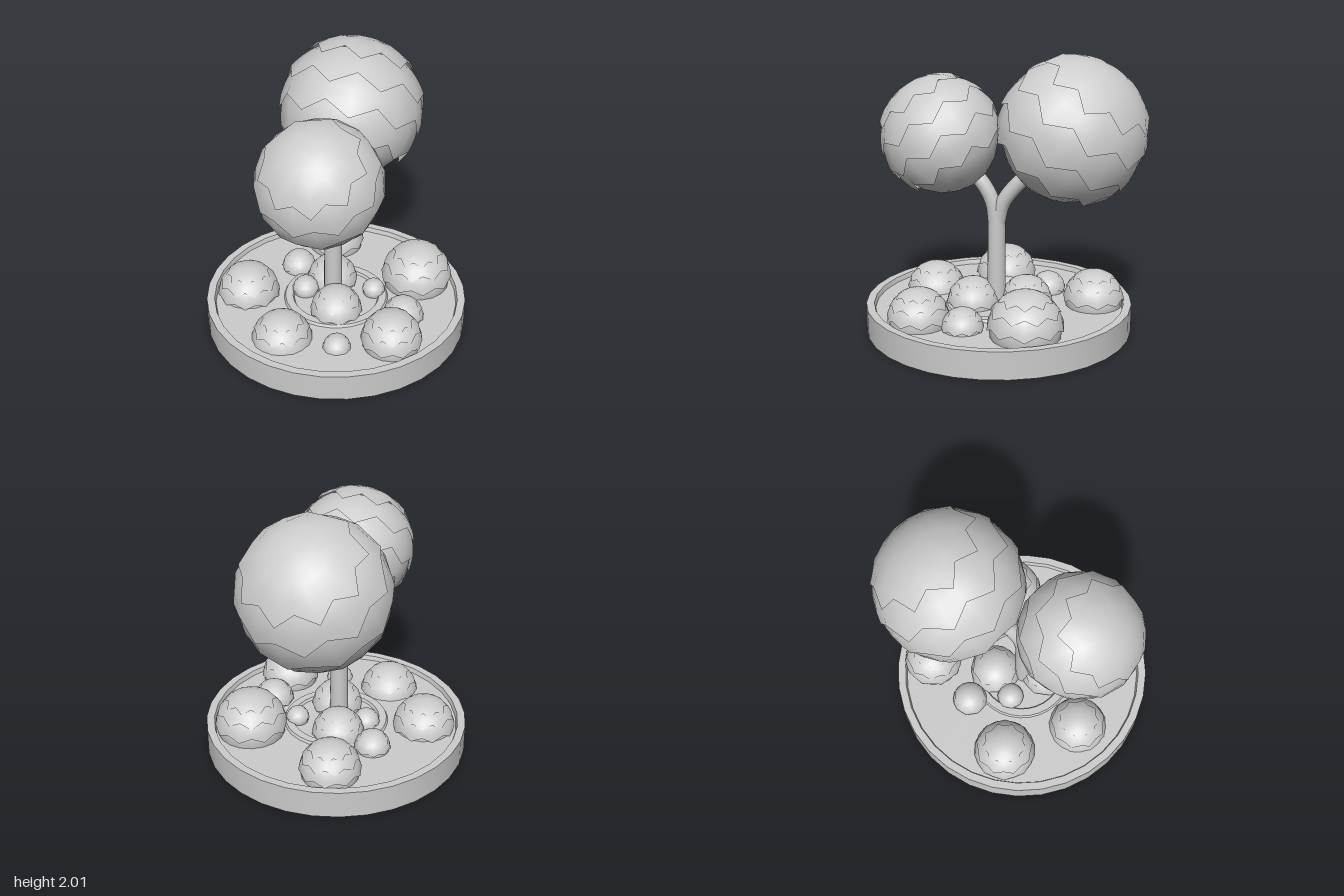
import * as THREE from 'three';
import { toCreasedNormals } from 'three/addons/utils/BufferGeometryUtils.js';

const material = new THREE.MeshStandardMaterial({ color: 0xcccccc, side: THREE.DoubleSide });
const TEETH = 9, COLS = TEETH * 2, ROWS = 4;

function add(parent, name, geometry) {
  const mesh = new THREE.Mesh(geometry, material);
  mesh.name = name;
  parent.add(mesh);
  return mesh;
}

// One leafy skirt: a band of a sphere that flares towards a zigzag lower edge.
// Angles are in degrees from the top pole.
function skirt(radius, from, to, tooth, phase, flare) {
  const pos = [], index = [];
  for (let i = 0; i <= ROWS; i++) {
    const f = i / ROWS;
    for (let j = 0; j <= COLS; j++) {
      const zig = (j % 2 ? 1 : -1) * tooth * f * f;
      const t = THREE.MathUtils.degToRad(from + (to - from) * f + zig);
      const a = ((j % COLS) + phase) / COLS * Math.PI * 2;
      const r = radius * (1 - flare * (1 - f));
      pos.push(r * Math.sin(t) * Math.sin(a), r * Math.cos(t), r * Math.sin(t) * Math.cos(a));
    }
  }
  for (let i = 0; i < ROWS; i++) {
    for (let j = 0; j < COLS; j++) {
      const a = i * (COLS + 1) + j, b = a + COLS + 1;
      index.push(a, b, a + 1, b, b + 1, a + 1);
    }
  }
  const g = new THREE.BufferGeometry();
  g.setAttribute('position', new THREE.Float32BufferAttribute(pos, 3));
  g.setIndex(index);
  return toCreasedNormals(g, 0.8);
}

// Ball of overlapping skirts; the last edge is plain.
function leafBall(name, radius, edges, tooth) {
  const ball = new THREE.Group();
  ball.name = name;
  edges.forEach((edge, i) => {
    const last = i === edges.length - 1;
    const from = i ? edges[i - 1] - tooth - 4 : 0;
    const geo = skirt(radius, from, edge, last ? 0 : tooth, i % 2, last ? 0.05 : i ? 0.06 : 0.03);
    if (last) geo.scale(0.97, 0.97, 0.97);
    add(ball, 'leafSkirt', geo);
  });
  return ball;
}

export function createModel() {
  const model = new THREE.Group();
  model.name = 'pottedTree';

  // Round tray, open below, with a raised rim and a curb round the trunk
  const profile = [
    [0.957, 0], [0.957, 0.2], [0.9, 0.2], [0.89, 0.165], [0.385, 0.165],
    [0.375, 0.185], [0.32, 0.185], [0.31, 0.165], [0, 0.165],
  ].map(([x, y]) => new THREE.Vector2(x, y));
  const tray = add(model, 'tray', toCreasedNormals(new THREE.LatheGeometry(profile, 32), 0.6));
  tray.position.z = 0.01;

  // Trunk and its two branches
  const trunk = add(model, 'trunk', new THREE.CylinderGeometry(0.062, 0.068, 0.76, 16, 1, true));
  trunk.position.set(-0.025, 0.5, 0.02);
  const branches = [
    [[-0.025, 0.78, 0.028], [-0.03, 0.92, 0.045], [-0.06, 1.05, 0.1], [-0.14, 1.2, 0.22]],
    [[-0.02, 0.78, 0.012], [0.005, 0.92, -0.015], [0.055, 1.05, -0.09], [0.14, 1.2, -0.22]],
  ];
  for (const points of branches) {
    const curve = new THREE.CatmullRomCurve3(points.map((p) => new THREE.Vector3(...p)));
    add(model, 'branch', new THREE.TubeGeometry(curve, 12, 0.055, 12));
  }

  // Two crowns leaning away from the trunk: centre, radius, lean
  const crowns = [
    ['frontCrown', [-0.22, 1.4, 0.375], 0.44, [-0.4, 1, 0.6]],
    ['backCrown', [0.25, 1.48, -0.45], 0.53, [0.42, 1, -0.55]],
  ];
  const up = new THREE.Vector3(0, 1, 0);
  for (const [name, centre, radius, lean] of crowns) {
    const crown = leafBall(name, radius, [50, 74, 98, 122, 180], 5.5);
    crown.position.set(...centre);
    crown.quaternion.setFromUnitVectors(up, new THREE.Vector3(...lean).normalize());
    model.add(crown);
  }

  // Bushes, open below: x, z, radius, top height
  const bushes = [
    [-0.61, -0.22, 0.23, 0.4], [0.635, 0, 0.265, 0.49], [0.22, 0.65, 0.22, 0.425],
    [0.4, 0.38, 0.15, 0.32], [-0.5, 0.36, 0.22, 0.355], [0.19, -0.65, 0.22, 0.425],
    [-0.17, -0.42, 0.13, 0.31], [-0.16, 0.58, 0.1, 0.26], [-0.05, 0.19, 0.19, 0.37],
    [0.03, -0.19, 0.19, 0.37], [0.28, 0.05, 0.085, 0.28], [-0.2, -0.11, 0.1, 0.29],
  ];
  bushes.forEach(([x, z, radius, top], i) => {
    const bush = leafBall('bush', radius, [42, 64, 88, 124], 4.5);
    bush.position.set(x, top - radius * 0.98, z);
    bush.rotation.y = i * 0.9;
    model.add(bush);
  });

  return model;
}
